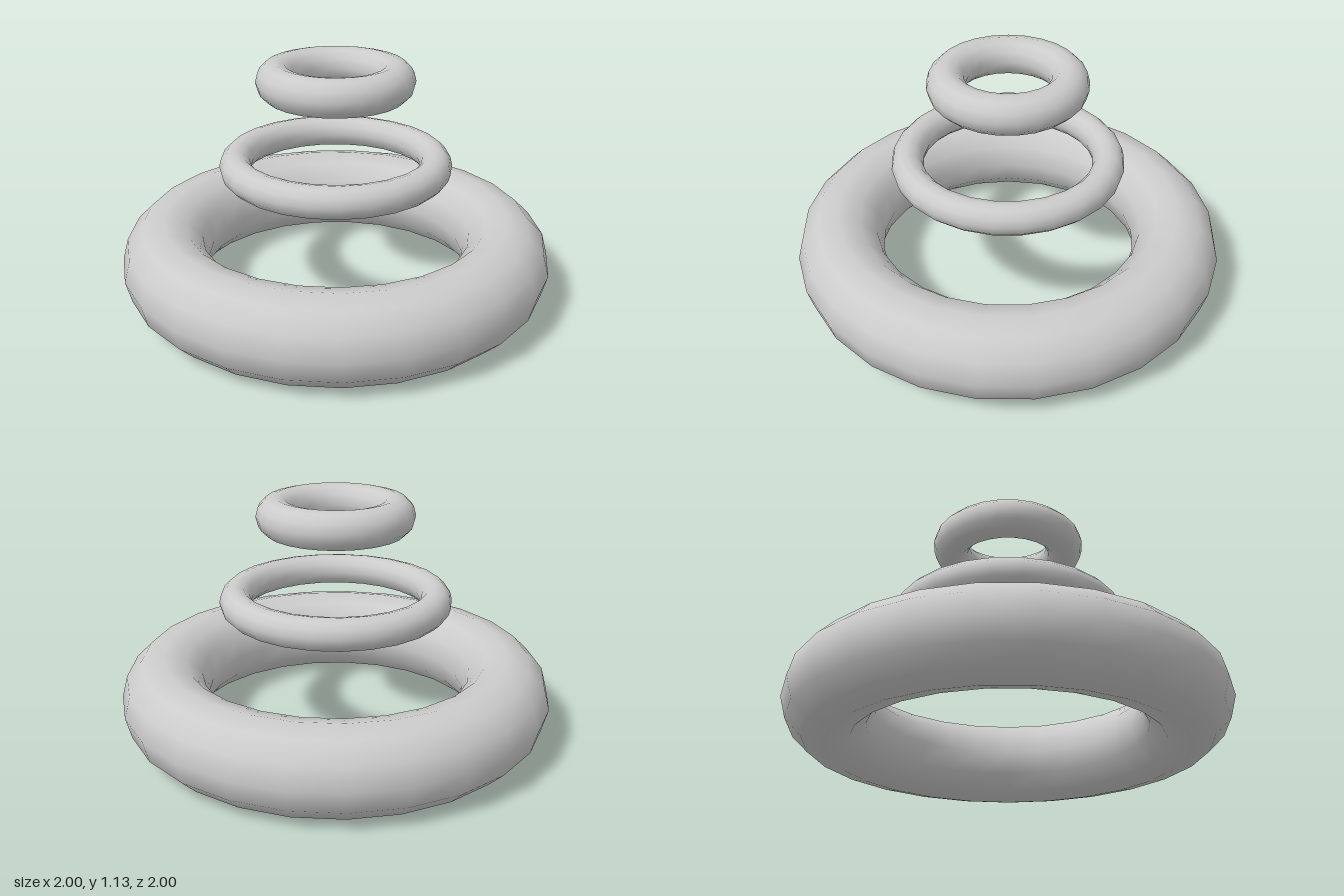
import * as THREE from 'three';

export function createModel() {
  const model = new THREE.Group();
  const material = new THREE.MeshStandardMaterial({ color: 0xcccccc });

  // Three separate horizontal rings floating above each other
  const rings = [
    { name: 'bottomRing', radius: 0.803, tube: 0.201, y: 0.201 },
    { name: 'middleRing', radius: 0.4635, tube: 0.0735, y: 0.648 },
    { name: 'topRing', radius: 0.273, tube: 0.088, y: 1.045 },
  ];
  for (const { name, radius, tube, y } of rings) {
    const geometry = new THREE.TorusGeometry(radius, tube, 12, 25);
    geometry.rotateX(-Math.PI / 2);
    const ring = new THREE.Mesh(geometry, material);
    ring.name = name;
    // The odd segment count makes each ring slightly lopsided in x
    ring.position.set(-0.004, y, 0);
    model.add(ring);
  }
  return model;
}
